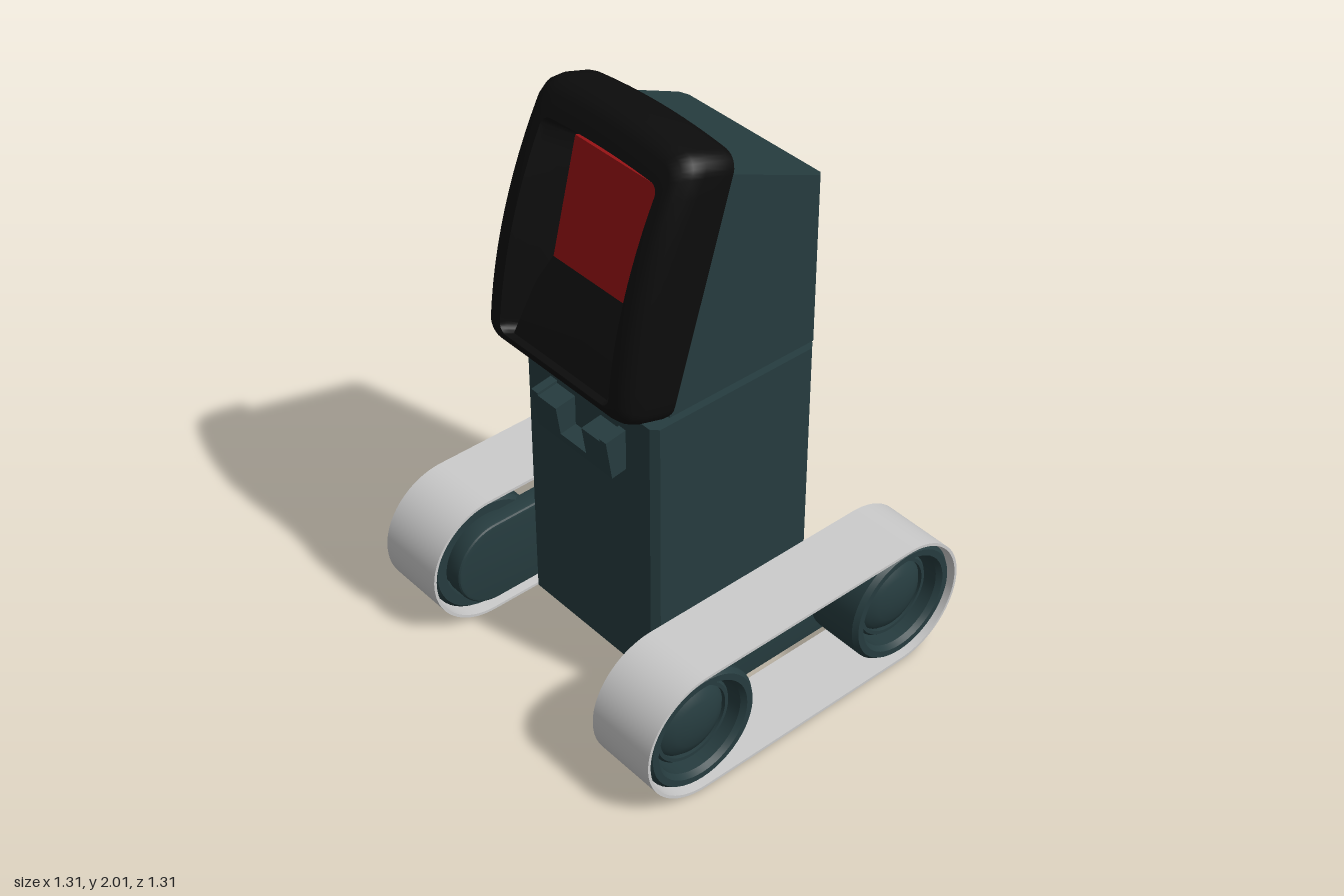
import * as THREE from 'three';
import { toCreasedNormals } from 'three/addons/utils/BufferGeometryUtils.js';

const mat = (color) => new THREE.MeshStandardMaterial({ color });

// Extrudes a (z, y) shape along x, centred on x = 0
function extrudeX(shape, width, bevel = 0) {
  const depth = width - 2 * bevel;
  const g = new THREE.ExtrudeGeometry(shape, {
    depth, curveSegments: 24, bevelEnabled: bevel > 0,
    bevelSize: bevel, bevelThickness: bevel, bevelOffset: -bevel, bevelSegments: 3,
  });
  return toCreasedNormals(g.translate(0, 0, -depth / 2).rotateY(-Math.PI / 2), 0.5);
}

// Two half circles joined by straight runs
function stadium(r, half, cy, Type = THREE.Shape) {
  const s = new Type();
  s.absarc(half, cy, r, -Math.PI / 2, Math.PI / 2, false);
  s.absarc(-half, cy, r, Math.PI / 2, Math.PI * 1.5, false);
  s.closePath();
  return s;
}

// Upright box with chamfered vertical edges; place(v, t) sets each vertex, t = 0 bottom, 1 top
function column(w, d, place) {
  const c = 0.022;
  const outline = [[w, c - d], [w, d - c], [w - c, d], [c - w, d], [-w, d - c], [-w, c - d], [c - w, -d], [w - c, -d]];
  const shape = new THREE.Shape(outline.map(([x, z]) => new THREE.Vector2(x, -z)));
  const g = new THREE.ExtrudeGeometry(shape, { depth: 1, bevelEnabled: false }).rotateX(-Math.PI / 2);
  const p = g.attributes.position, v = new THREE.Vector3();
  for (let i = 0; i < p.count; i++) {
    v.fromBufferAttribute(p, i);
    place(v, v.y);
    p.setXYZ(i, v.x, v.y, v.z);
  }
  return toCreasedNormals(g, 0.3);
}

// Rounded rectangle loop, anticlockwise, with points along the edges so they can curve
function roundedLoop(w, y0, y1, r) {
  const corners = [[w - r, y0 + r, -1], [w - r, y1 - r, 0], [r - w, y1 - r, 1], [r - w, y0 + r, 2]];
  const arc = ([cx, cy, q], i) => {
    const a = (q + i / 6) * Math.PI / 2;
    return [cx + r * Math.cos(a), cy + r * Math.sin(a)];
  };
  const pts = [];
  corners.forEach((c, k) => {
    for (let i = 0; i <= 6; i++) pts.push(arc(c, i));
    const a = arc(c, 6), b = arc(corners[(k + 1) % 4], 0);
    for (let i = 1; i < 12; i++) pts.push([a[0] + (b[0] - a[0]) * i / 12, a[1] + (b[1] - a[1]) * i / 12]);
  });
  return pts;
}

// Bowed face frame, lofted from the back, round the rim and down into the recess
function faceFrame() {
  const front = (u) => 0.242 - 0.27 * (u - 0.42) ** 2;
  const loops = [
    [0.02, 0.4, 0.46, 0.01, () => 0],
    [0.31, 0.02, 0.85, 0.04, () => 0],
    [0.325, 0.005, 0.862, 0.05, () => 0.01],
    [0.33, 0, 0.867, 0.055, () => 0.035],
    [0.33, 0, 0.867, 0.055, (u) => front(u) - 0.075],
    [0.322, 0.005, 0.86, 0.055, (u) => front(u) - 0.035],
    [0.305, 0.018, 0.842, 0.05, (u) => front(u) - 0.01],
    [0.28, 0.034, 0.815, 0.045, front],
    [0.25, 0.045, 0.75, 0.03, front],
    [0.243, 0.05, 0.742, 0.03, (u) => front(u) - 0.02],
    [0.2, 0.06, 0.7, 0.01, () => 0.1],
  ];
  const pos = [], idx = [];
  let n = 0;
  for (const [w, y0, y1, r, depth] of loops) {
    const pts = roundedLoop(w, y0, y1, r);
    n = pts.length;
    for (const [x, u] of pts) pos.push(x, u - 0.022 * (x / 0.33) ** 2 * (u / 0.867), depth(u));
  }
  for (let k = 0; k < loops.length - 1; k++) {
    for (let i = 0; i < n; i++) {
      const a = k * n + i, b = k * n + (i + 1) % n;
      idx.push(a, b, b + n, a, b + n, a + n);
    }
  }
  const g = new THREE.BufferGeometry();
  g.setAttribute('position', new THREE.Float32BufferAttribute(pos, 3));
  g.setIndex(idx);
  return toCreasedNormals(g, 0.75);
}

// Turned part whose axis runs along +x; points are [radius, x]
function turned(points) {
  const g = new THREE.LatheGeometry(points.map(([r, x]) => new THREE.Vector2(r, x)), 48);
  return toCreasedNormals(g.rotateZ(-Math.PI / 2), 0.5);
}

export function createModel() {
  const root = new THREE.Group();
  const teal = mat(0x263c3f), black = mat(0x0c0c0c), red = mat(0x961214), grey = mat(0xcccccc);
  const add = (parent, name, geometry, material) => {
    const m = new THREE.Mesh(geometry, material);
    m.name = name;
    parent.add(m);
    return m;
  };

  // Torso and sloping head shell
  add(root, 'torso', column(0.305, 0.325, (v, t) => { v.y = 0.13 + 0.99 * t; }), teal);
  add(root, 'headShell', column(0.308, 0.325, (v, t) => {
    if (v.z > 0) v.z = t > 0.5 ? 0.045 : 0.27;
    v.y = t > 0.5 ? 1.73 + (v.z + 0.325) * 0.425 : 1.15;
  }), teal);

  // Notched chest bracket, leaning out at the top
  const notch = [[-0.175, 0], [0.175, 0], [0.175, 0.145], [0.145, 0.145], [0.145, 0.135], [0.06, 0.135], [0.06, 0.03],
    [-0.06, 0.03], [-0.06, 0.135], [-0.145, 0.135], [-0.145, 0.145], [-0.175, 0.145]];
  const bracket = add(root, 'chestBracket', new THREE.ExtrudeGeometry(
    new THREE.Shape(notch.map(([x, y]) => new THREE.Vector2(x, y))), { depth: 0.08, bevelEnabled: false }), teal);
  bracket.position.set(0, 0.91, 0.3);
  bracket.rotation.x = 0.15;

  // Face, leaning back: frame, screen and sloping panel beneath it
  const face = new THREE.Group();
  face.name = 'face';
  face.position.set(0, 1.14, 0.27);
  face.rotation.x = -0.292;
  root.add(face);
  add(face, 'faceFrame', faceFrame(), black);
  add(face, 'screenBacking', new THREE.BoxGeometry(0.44, 0.66, 0.05).translate(0, 0.385, 0.075), black);
  const screen = add(face, 'screen', new THREE.BoxGeometry(0.39, 0.39, 0.03), red);
  screen.position.set(0, 0.5, 0.1);
  screen.rotation.x = 0.05;
  const ledge = [[0.05, 0.04], [0.18, 0.04], [0.132, 0.23], [0.1, 0.305], [0.05, 0.305]];
  add(face, 'lowerPanel', extrudeX(new THREE.Shape(ledge.map(([z, y]) => new THREE.Vector2(z, y))), 0.43), black);

  // Tracks, one per side
  const cy = 0.235, cz = 0.425;
  const beltShape = stadium(0.233, cz - 0.003, 0.233);
  beltShape.holes.push(stadium(0.223, cz - 0.003, 0.233, THREE.Path));
  const belt = extrudeX(beltShape, 0.256);
  const plate = extrudeX(stadium(0.156, cz, cy), 0.075, 0.012);
  const rim = turned([[0.165, 0.42], [0.2, 0.42], [0.212, 0.435], [0.212, 0.625], [0.2, 0.642], [0.178, 0.642],
    [0.165, 0.625], [0.165, 0.42]]);
  const hub = turned([[0.15, 0.4], [0.15, 0.585], [0.142, 0.595], [0.13, 0.595], [0.13, 0.58], [0.115, 0.595],
    [0.08, 0.61], [0.04, 0.618], [0, 0.62]]);
  for (const side of [1, -1]) {
    const track = new THREE.Group();
    track.name = side > 0 ? 'leftTrack' : 'rightTrack';
    if (side < 0) track.rotation.y = Math.PI;
    root.add(track);
    add(track, 'belt', belt, grey).position.x = 0.527;
    add(track, 'sidePlate', plate, teal).position.x = 0.402;
    for (const z of [cz, -cz]) {
      add(track, 'wheelRim', rim, teal).position.set(0, cy, z);
      add(track, 'wheelHub', hub, teal).position.set(0, cy, z);
    }
  }
  return root;
}
